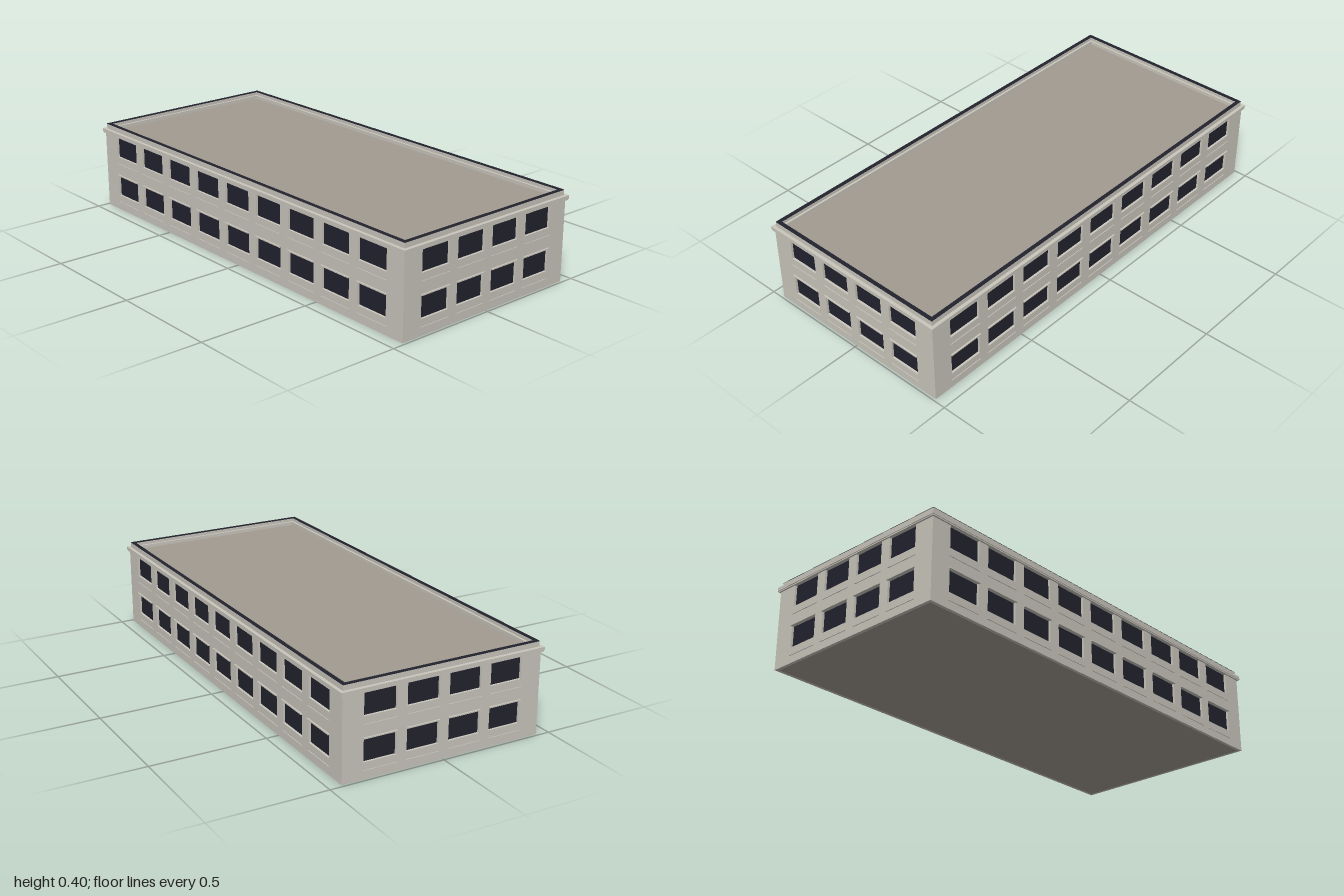
import * as THREE from 'three';

const X = 0.445, Z = 0.99;      // half size of the outer walls
const D = 0.014;                // wall depth in front of the core
const WALL_TOP = 0.372, ROOF = 0.365;
const FLOORS = [0.07, 0.256];   // window bottoms
const WIN_H = 0.096;

export function createModel() {
  const mat = (name, color) => {
    const m = new THREE.MeshStandardMaterial({ color });
    m.name = name;
    return m;
  };
  const wallMat = mat('pale stone', 0xc9c5bc);
  const roofMat = mat('roof grey', 0xa19b91);
  const glassMat = mat('dark glass', 0x22222e);

  const model = new THREE.Group();
  model.name = 'building';

  const add = (parent, name, geometry, material, x = 0, y = 0, z = 0) => {
    const m = new THREE.Mesh(geometry, material);
    m.name = name;
    m.position.set(x, y, z);
    parent.add(m);
    return m;
  };
  const rect = (Type, x0, y0, x1, y1) => new Type([
    new THREE.Vector2(x0, y0), new THREE.Vector2(x1, y0),
    new THREE.Vector2(x1, y1), new THREE.Vector2(x0, y1),
  ]);

  // Rectangular ring around the building, inset from its outer edge
  const ring = (name, ox, oz, inset, y0, y1, material) => {
    const shape = rect(THREE.Shape, -ox, -oz, ox, oz);
    shape.holes.push(rect(THREE.Path, inset - ox, inset - oz, ox - inset, oz - inset));
    const g = new THREE.ExtrudeGeometry(shape, { depth: y1 - y0, bevelEnabled: false });
    g.rotateX(-Math.PI / 2);
    add(model, name, g, material, 0, y0, 0);
  };

  // Facade facing local +z, its outer plane at local z = 0
  const facade = (name, half, count, spacing, winW) => {
    const group = new THREE.Group();
    group.name = name;
    const shape = rect(THREE.Shape, -half, 0, half, WALL_TOP);
    for (const y of FLOORS) {
      for (let i = 0; i < count; i++) {
        const x = (i - (count - 1) / 2) * spacing;
        shape.holes.push(rect(THREE.Path, x - winW / 2, y, x + winW / 2, y + WIN_H));
        // Recessed pane
        add(group, 'windowPane', new THREE.BoxGeometry(winW, WIN_H, 0.004), glassMat,
          x, y + WIN_H / 2, 0.002 - D);
        // Slim ledge below each window
        add(group, 'ledge', new THREE.BoxGeometry(winW + 0.006, 0.004, 0.004), wallMat,
          x, y - 0.034, 0.001);
      }
    }
    // Drip moulding over the lower windows
    for (let i = 0; i < count; i++) {
      add(group, 'windowHood', new THREE.BoxGeometry(winW + 0.006, 0.005, 0.008), wallMat,
        (i - (count - 1) / 2) * spacing, FLOORS[0] + WIN_H + 0.0025, 0.003);
    }
    const g = new THREE.ExtrudeGeometry(shape, { depth: D, bevelEnabled: false });
    add(group, 'wall', g, wallMat, 0, 0, -D);
    model.add(group);
    return group;
  };

  // Core with the flat roof and underside
  add(model, 'roofAndCore', new THREE.BoxGeometry(2 * (X - D), ROOF, 2 * (Z - D)), roofMat, 0, ROOF / 2, 0);

  // Four facades; the long ones fit between the short ones
  for (const s of [1, -1]) {
    const end = facade(s > 0 ? 'frontFacade' : 'backFacade', X, 4, 0.188, 0.142);
    end.position.z = s * Z;
    end.rotation.y = s > 0 ? 0 : Math.PI;
    const side = facade(s > 0 ? 'leftFacade' : 'rightFacade', Z - D, 9, 0.205, 0.155);
    side.position.x = s * X;
    side.rotation.y = s * Math.PI / 2;
  }

  // Cornice, parapet with dark coping, and inner kerb
  ring('corniceLower', 0.452, 0.997, 0.015, 0.352, 0.357, wallMat);
  ring('corniceUpper', 0.455, 1.0, 0.03, 0.357, 0.3725, wallMat);
  ring('parapet', 0.44, 0.985, 0.017, 0.36, 0.394, wallMat);
  ring('coping', 0.44, 0.985, 0.017, 0.394, 0.396, glassMat);
  ring('innerKerb', 0.423, 0.968, 0.01, 0.36, 0.38, wallMat);

  return model;
}
